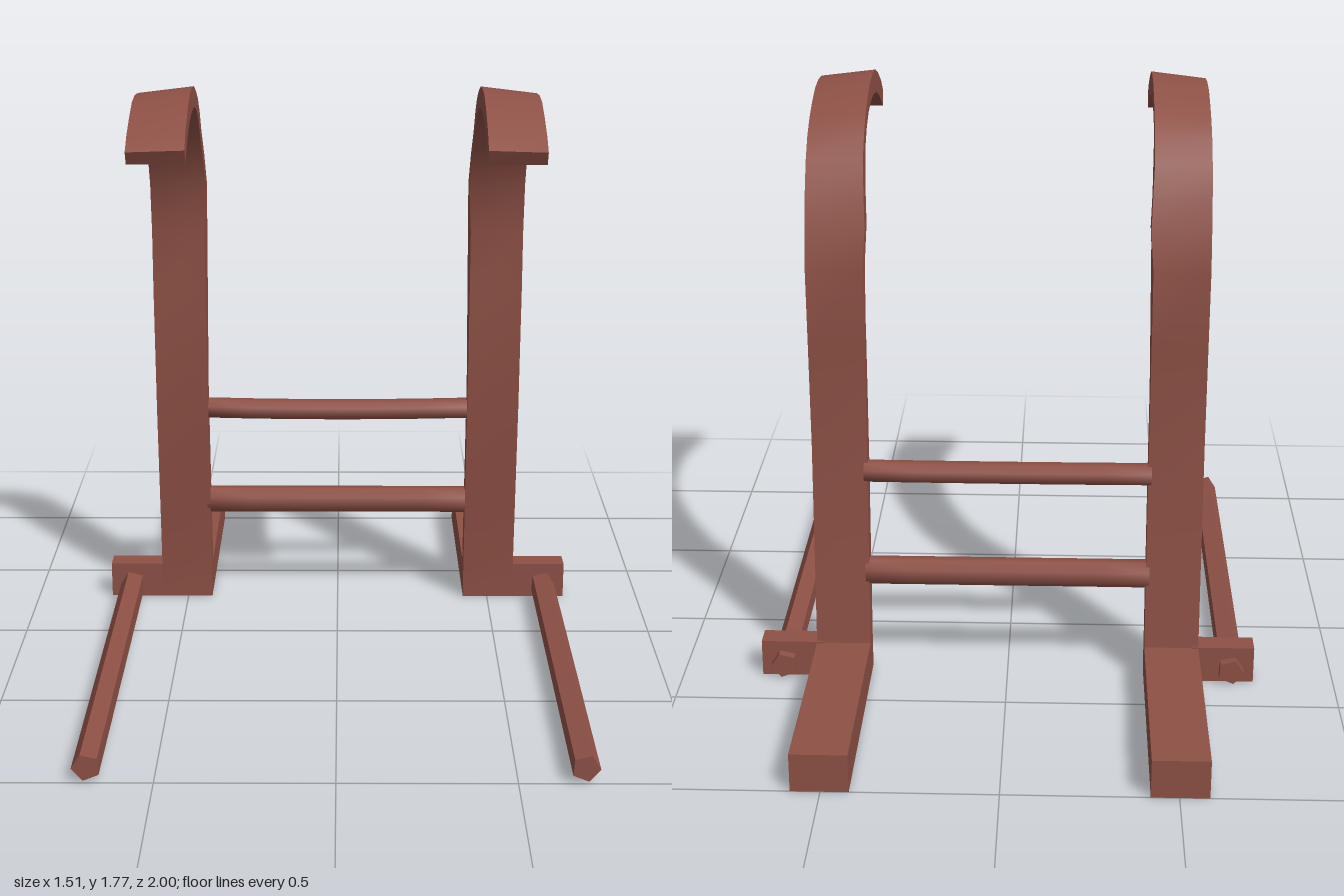
import * as THREE from 'three';
import { toCreasedNormals } from 'three/addons/utils/BufferGeometryUtils.js';

const material = new THREE.MeshStandardMaterial({ color: 0x8e5146 });
const flatMaterial = new THREE.MeshStandardMaterial({ color: 0x8e5146, flatShading: true });

// Side outline of foot, upright and hook as [z, y]
const OUTLINE = [
  [-0.28, 0], [-0.28, 0.11], [-0.262, 0.37], [-0.24, 0.67], [-0.232, 1.07], [-0.24, 1.26],
  [-0.22, 1.415], [-0.17, 1.525], [-0.11, 1.615], [-0.06, 1.66], [0, 1.69], [0.08, 1.708],
  [0.165, 1.708], [0.25, 1.695], [0.33, 1.667], [0.44, 1.607],
  [0.46, 1.65], [0.405, 1.695], [0.31, 1.742], [0.235, 1.768], [0.155, 1.775], [0.07, 1.768],
  [-0.01, 1.742], [-0.08, 1.708], [-0.14, 1.66], [-0.195, 1.593], [-0.24, 1.51], [-0.275, 1.41],
  [-0.302, 1.3], [-0.298, 1.07], [-0.296, 0.75], [-0.32, 0.43], [-0.347, 0.11],
  [-1, 0.118], [-1, 0],
];
const WIDTH = 0.165;
const CENTER_X = 0.5025;

function add(group, name, geometry, mat = material) {
  const mesh = new THREE.Mesh(geometry, mat);
  mesh.name = name;
  group.add(mesh);
  return mesh;
}

// Flat strap running from the foot up into the hook; side is +1 or -1
function strapGeometry(side) {
  const shape = new THREE.Shape(OUTLINE.map(([z, y]) => new THREE.Vector2(-z, y)));
  const geometry = new THREE.ExtrudeGeometry(shape, { depth: WIDTH, bevelEnabled: false });
  geometry.rotateY(Math.PI / 2).translate(side * CENTER_X - WIDTH / 2, 0, 0);
  const p = geometry.attributes.position;
  for (let i = 0; i < p.count; i++) {
    const x = p.getX(i), y = p.getY(i);
    const outer = Math.abs(x) > CENTER_X;
    // the hook leans slightly outward and swells at the inner edge of its bend
    if (outer) p.setY(i, y - 0.02 * THREE.MathUtils.smoothstep(y, 1.6, 1.75));
    else p.setX(i, x - side * 0.01 * Math.max(0, 1 - Math.abs(y - 1.43) / 0.14));
  }
  return toCreasedNormals(geometry, 0.6);
}

// Oval rung between the uprights, bowed gently at its middle
function rungGeometry(y, z, height, depth, bow, sag) {
  const geometry = new THREE.CylinderGeometry(0.5, 0.5, 0.86, 8, 6);
  geometry.rotateZ(Math.PI / 2).rotateX(Math.PI / 8);
  geometry.scale(1, height / 0.924, depth / 0.924);
  const p = geometry.attributes.position;
  for (let i = 0; i < p.count; i++) {
    const t = 1 - (p.getX(i) / 0.43) ** 2;
    p.setY(i, p.getY(i) + y - sag * t);
    p.setZ(i, p.getZ(i) + z + bow * t);
  }
  return toCreasedNormals(geometry, 0.9);
}

export function createModel() {
  const model = new THREE.Group();
  model.name = 'hookedFrame';

  for (const side of [1, -1]) {
    const half = new THREE.Group();
    half.name = side > 0 ? 'leftSide' : 'rightSide';
    add(half, 'hookUprightAndFoot', strapGeometry(side));

    // Block joining the long rod to the base of the upright
    add(half, 'rodBracket', new THREE.BoxGeometry(0.19, 0.115, 0.07))
      .position.set(side * 0.66, 0.0575, -0.318);

    // Five-sided rod passing through the bracket
    const rod = new THREE.CylinderGeometry(0.041, 0.041, 1.38, 5, 1, false, side * 0.244);
    rod.rotateX(Math.PI / 2);
    add(half, 'longRod', rod, flatMaterial).position.set(side * 0.684, 0.046, 0.31);
    model.add(half);
  }

  add(model, 'lowerRung', rungGeometry(0.34, -0.302, 0.08, 0.075, 0, 0));
  add(model, 'upperRung', rungGeometry(0.663, -0.287, 0.06, 0.07, 0.006, 0.004));
  return model;
}
